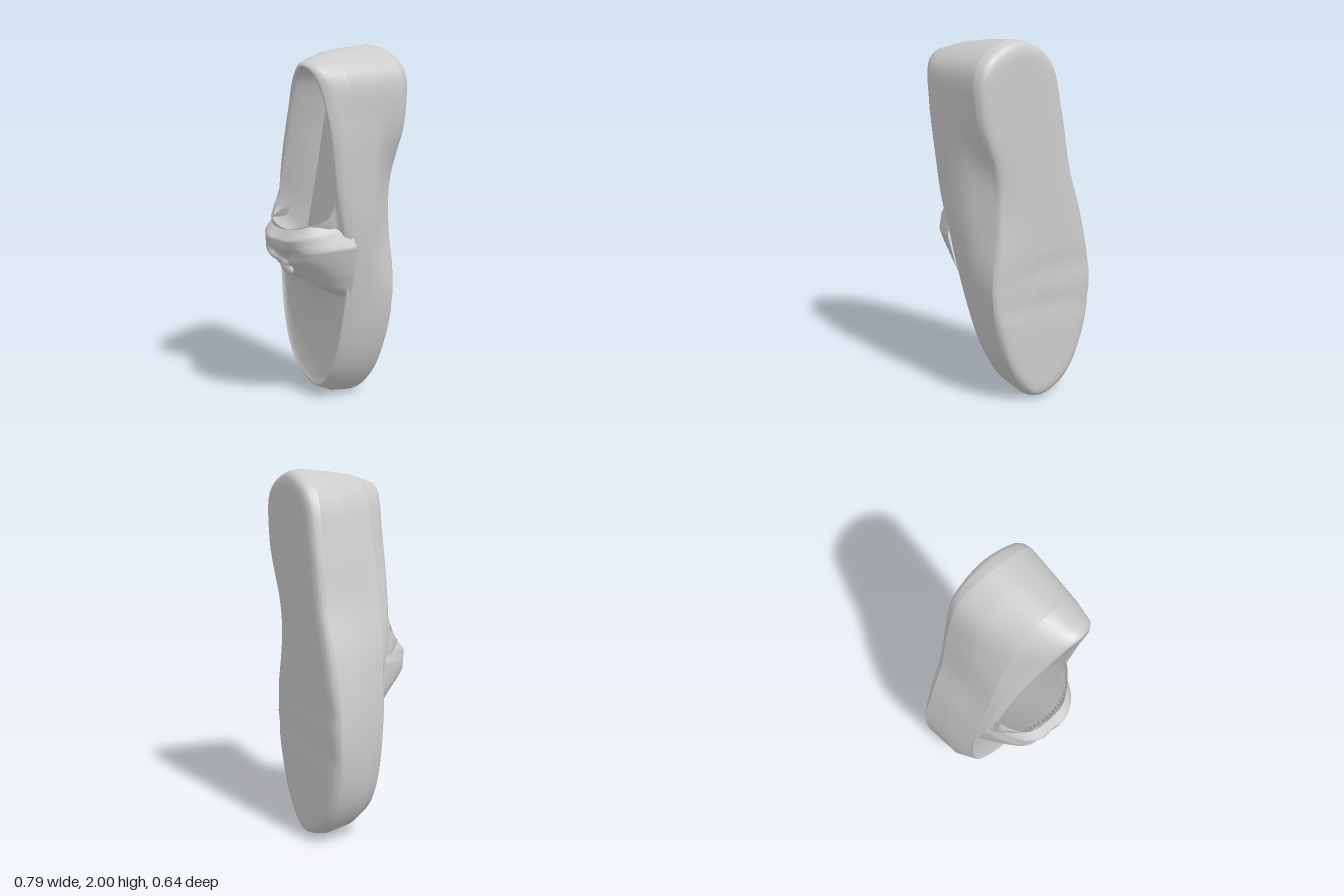
import * as THREE from 'three';

const N = 96;
const { lerp, clamp, smoothstep } = THREE.MathUtils;
const bump = (d, w) => Math.exp(-((d / w) ** 2));
const grey = () => new THREE.MeshStandardMaterial({ color: 0xcccccc, side: THREE.DoubleSide });

// Closed loop from stations [y, xLeft, xRight, z], toe first and heel last
function ring(rows) {
  const last = rows.length - 1, pts = [];
  rows.forEach(([y, , xr, z]) => pts.push(new THREE.Vector3(xr, y, z)));
  for (let i = last - 1; i > 0; i--) pts.push(new THREE.Vector3(rows[i][1], rows[i][0], rows[i][3]));
  const curve = new THREE.CatmullRomCurve3(pts, true, 'catmullrom', 0.5);
  return Array.from({ length: N }, (_, i) => curve.getPoint(i / N));
}

// Blend of two loops; the z shift fades out towards the heel if toeOnly is set
const mix = (a, b, t, dz = 0, toeOnly = false) => a.map((p, i) => {
  const q = p.clone().lerp(b[i], t);
  q.z += toeOnly ? dz * (1 - smoothstep(q.y, 0.7, 1.1)) : dz;
  return q;
});

// Skin through a series of loops
function loft(rings) {
  const pos = [], index = [];
  rings.forEach(r => r.forEach(p => pos.push(p.x, p.y, p.z)));
  for (let j = 0; j < rings.length - 1; j++) {
    for (let i = 0; i < N; i++) {
      const a = j * N + i, b = j * N + (i + 1) % N;
      index.push(a, b, b + N, a, b + N, a + N);
    }
  }
  const g = new THREE.BufferGeometry();
  g.setAttribute('position', new THREE.Float32BufferAttribute(pos, 3));
  g.setIndex(index);
  g.computeVertexNormals();
  return g;
}

// Loops from the sole edge up to the foot opening
const edge = ring([
  [0.0, -0.03, -0.03, -0.22], [0.08, -0.22, 0.10, -0.24], [0.3, -0.345, 0.22, -0.27],
  [0.64, -0.395, 0.295, -0.285], [1.0, -0.33, 0.265, -0.27], [1.3, -0.235, 0.275, -0.265],
  [1.6, -0.175, 0.375, -0.265], [1.88, -0.095, 0.365, -0.25], [2.0, 0.13, 0.13, -0.23]]);
const waist = ring([
  [0.02, -0.03, -0.03, -0.1], [0.1, -0.215, 0.10, -0.1], [0.3, -0.335, 0.215, -0.1],
  [0.64, -0.36, 0.295, -0.1], [1.0, -0.31, 0.345, -0.09], [1.3, -0.22, 0.362, -0.09],
  [1.6, -0.16, 0.375, -0.08], [1.87, -0.07, 0.355, -0.07], [1.985, 0.14, 0.14, -0.06]]);
const seam = ring([
  [0.065, -0.03, -0.03, -0.005], [0.14, -0.18, 0.08, 0], [0.32, -0.275, 0.175, 0.01],
  [0.64, -0.305, 0.265, 0.025], [1.0, -0.27, 0.335, 0.05], [1.3, -0.2, 0.362, 0.07],
  [1.6, -0.115, 0.368, 0.08], [1.855, -0.01, 0.345, 0.1], [1.965, 0.16, 0.16, 0.1]]);
const throat = ring([
  [0.66, 0.0, 0.0, 0.02], [0.69, -0.15, 0.13, 0.025], [0.76, -0.23, 0.21, 0.04],
  [0.88, -0.25, 0.28, 0.06], [1.1, -0.225, 0.33, 0.105], [1.35, -0.16, 0.35, 0.135],
  [1.62, -0.045, 0.355, 0.175], [1.85, 0.07, 0.325, 0.225], [1.92, 0.2, 0.2, 0.255]]);
const opening = ring([
  [1.03, 0.06, 0.06, 0.27], [1.06, -0.10, 0.19, 0.25], [1.1, -0.19, 0.28, 0.175],
  [1.2, -0.185, 0.305, 0.138], [1.35, -0.125, 0.32, 0.15], [1.5, -0.06, 0.325, 0.175],
  [1.68, 0.03, 0.32, 0.215], [1.83, 0.12, 0.275, 0.25], [1.89, 0.2, 0.2, 0.268]]);
const insole = ring([
  [0.7, -0.03, -0.03, -0.13], [0.75, -0.2, 0.15, -0.13], [0.85, -0.27, 0.23, -0.13],
  [1.0, -0.25, 0.27, -0.13], [1.15, -0.215, 0.285, -0.13], [1.35, -0.165, 0.305, -0.13],
  [1.6, -0.11, 0.325, -0.13], [1.83, -0.03, 0.3, -0.13], [1.92, 0.14, 0.14, -0.12]]);

// Loop flattened onto its own centre line
const spine = (r, z) => r.map(p => {
  const y = clamp(p.y, r[0].y + 0.2, r[N / 2].y - 0.2);
  return new THREE.Vector3(-0.05 + 0.1 * y, y, z);
});

// Underside depth: flex creases under the ball and a hollow at the inner waist
const underZ = p => -0.319
  + 0.01 * bump(p.y - 0.56 - 0.12 * p.x, 0.045) + 0.01 * bump(p.y - 0.74 + 0.08 * p.x, 0.045)
  + 0.02 * bump(p.y - 1.12, 0.22) * smoothstep(p.x, 0.05, 0.25);

// Bow surface: arched across the instep, pleated and crossed at the middle
const rise = [0.03, 0.14, 0.195, 0.235, 0.275, 0.308, 0.312, 0.27];
const leftSide = [-0.275, -0.275, -0.26, -0.205], rightSide = [0.265, 0.32, 0.355, 0.295];
function sample(list, t) {
  const f = t * (list.length - 1), i = Math.min(Math.floor(f), list.length - 2);
  return lerp(list[i], list[i + 1], f - i);
}
function bowPoint(u, v) {
  const s = u * 2 - 1;
  const x = lerp(sample(leftSide, v), sample(rightSide, v), u);
  const y0 = 0.72 - 0.085 * u, y1 = 1.03 + 0.07 * s * s;
  const y = lerp(y0, y1, v);
  const dx = x - 0.03, dy = y - 0.83, r = Math.hypot(dx, dy);
  const inside = Math.sin(Math.PI * v) * (1 - s * s);
  const pleats = 0.015 * Math.sin(Math.atan2(dy, Math.abs(dx) + 0.05) * 8 + (dx > 0 ? 0.8 : 0))
    * Math.min(1, Math.abs(dx) / 0.08) * Math.min(1, r / 0.1);
  const band = 0.03 * bump(0.43 * dx + 0.9 * dy, 0.025) * bump(dx, 0.16);
  const strand = 0.015 * bump(0.35 * dx - 0.94 * dy, 0.022) * bump(dx, 0.12);
  const pinch = -0.02 * bump(r, 0.08);
  const z = 0.045 * v + (sample(rise, v) - 0.035 * v) * (1 - s ** 4)
    + (pleats + band + strand + pinch) * inside;
  return new THREE.Vector3(x, y, z);
}

function bowGeometry() {
  const g = new THREE.PlaneGeometry(1, 1, 60, 48), p = g.attributes.position;
  for (let i = 0; i < p.count; i++) {
    const q = bowPoint(p.getX(i) + 0.5, p.getY(i) + 0.5);
    p.setXYZ(i, q.x, q.y, q.z);
  }
  g.computeVertexNormals();
  return g;
}

export function createModel() {
  const shoe = new THREE.Group();
  shoe.name = 'slipOnShoe';
  const add = (name, geometry) => {
    const m = new THREE.Mesh(geometry, grey());
    m.name = name;
    shoe.add(m);
    return m;
  };

  // Sole: creased underside with a rounded edge
  const under = spine(edge, -0.319);
  const soleRing = (t, k) => mix(edge, under, t).map(p => p.setZ(lerp(p.z, underZ(p), k)));
  add('sole', loft([...[1, 0.8, 0.6, 0.4].map(t => soleRing(t, 1)),
    soleRing(0.22, 0.95), soleRing(0.1, 0.8), soleRing(0.035, 0.5), edge]));

  // Upper: side wall, toe seam lip, vamp, quarters and rolled top edge
  add('upper', loft([edge, mix(edge, waist, 0.3), mix(edge, waist, 0.65), waist,
    mix(waist, seam, 0.65), seam, mix(seam, throat, 0.03, 0.004, true),
    mix(seam, throat, 0.08, -0.014, true), mix(seam, throat, 0.4, -0.015, true),
    mix(seam, throat, 0.75, -0.01, true), throat, mix(throat, opening, 0.5, 0.012),
    mix(throat, opening, 0.8, 0.012), opening, mix(opening, insole, 0.06)]));

  // Lining and insole
  add('lining', loft([0.06, 0.35, 0.75, 1].map(t => mix(opening, insole, t))));
  add('insole', loft([insole, spine(insole, -0.135)]));

  // Gathered bow across the instep with a flat knot
  add('bow', bowGeometry());
  const knot = add('bowKnot', new THREE.SphereGeometry(0.05, 20, 14));
  knot.scale.set(1.2, 0.65, 0.4);
  knot.rotation.z = -0.45;
  knot.position.copy(bowPoint(0.5, 0.4));

  return shoe;
}
